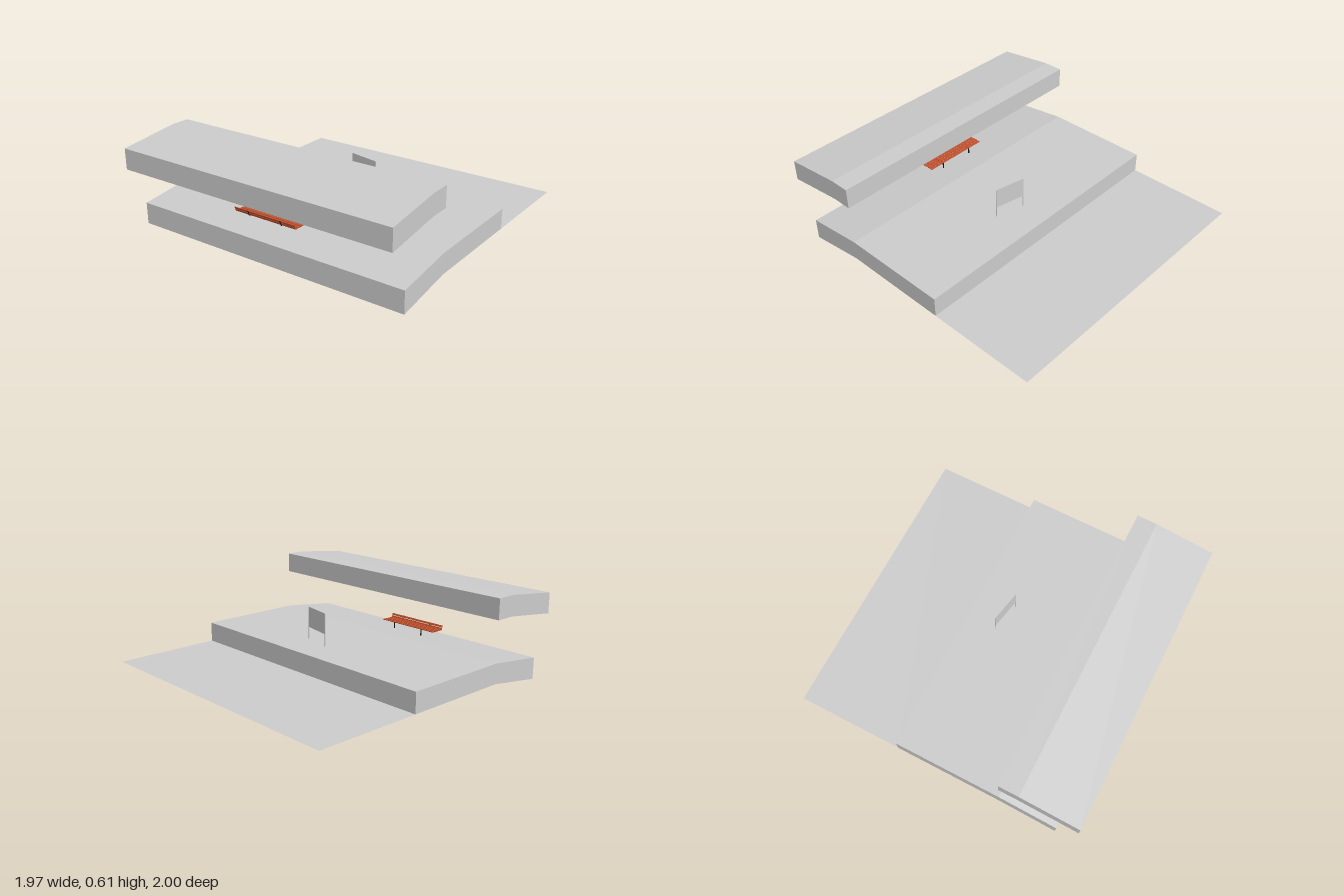
import * as THREE from 'three';

const WIDTH = 1.97;
const grey = new THREE.MeshStandardMaterial({ color: 0xcccccc });
const greyThin = new THREE.MeshStandardMaterial({ color: 0xcccccc, side: THREE.DoubleSide });
const red = new THREE.MeshStandardMaterial({ color: 0xc4522f });
const black = new THREE.MeshStandardMaterial({ color: 0x151515 });

function add(parent, name, geometry, material, x = 0, y = 0, z = 0) {
  const mesh = new THREE.Mesh(geometry, material);
  mesh.name = name;
  mesh.position.set(x, y, z);
  parent.add(mesh);
  return mesh;
}

// Extrudes a side profile of [z, y] points along x, centred on x = 0
function prism(profile, width) {
  const shape = new THREE.Shape(profile.map(([z, y]) => new THREE.Vector2(-z, y)));
  return new THREE.ExtrudeGeometry(shape, { depth: width, bevelEnabled: false })
    .translate(0, 0, -width / 2)
    .rotateY(Math.PI / 2);
}

function createBench() {
  const bench = new THREE.Group();
  bench.name = 'bench';
  const length = 0.47;
  // Seat slats
  for (let i = 0; i < 4; i++) {
    add(bench, 'seatSlat', new THREE.BoxGeometry(length, 0.005, 0.018), red, 0, 0.217, 0.657 + i * 0.024);
  }
  // Backrest slats, leaning outwards
  for (let i = 0; i < 2; i++) {
    const slat = add(bench, 'backSlat', new THREE.BoxGeometry(length, 0.014, 0.004), red,
      0, 0.223 + i * 0.016, 0.741 + i * 0.006);
    slat.rotation.x = 0.35;
  }
  // Bent frames: post, seat rail and back support
  for (const x of [-0.125, 0.125]) {
    add(bench, 'benchPost', new THREE.BoxGeometry(0.006, 0.05, 0.006), black, x, 0.19, 0.65);
    add(bench, 'seatRail', new THREE.BoxGeometry(0.006, 0.005, 0.09), black, x, 0.212, 0.694);
    const support = add(bench, 'backSupport', new THREE.BoxGeometry(0.006, 0.036, 0.004), black, x, 0.229, 0.746);
    support.rotation.x = 0.35;
  }
  bench.position.x = -0.083;
  return bench;
}

function createSign() {
  const sign = new THREE.Group();
  sign.name = 'sign';
  add(sign, 'signPanel', new THREE.BoxGeometry(0.212, 0.14, 0.004), grey, 0, 0.348, 0);
  for (const x of [-0.105, 0.105]) {
    add(sign, 'signPost', new THREE.CylinderGeometry(0.003, 0.003, 0.23, 8), grey, x, 0.303, 0);
  }
  sign.position.set(0.098, 0, -0.043);
  sign.rotation.y = -0.2;
  return sign;
}

export function createModel() {
  const model = new THREE.Group();
  model.name = 'terrace';

  // Lower slab, sloping down towards the front
  add(model, 'lowerTerrace', prism([
    [0.87, 0], [0.465, 0.06], [-0.273, 0.06], [-0.273, 0.195], [0.465, 0.195], [0.87, 0.145],
  ].reverse(), WIDTH), grey);

  // Upper slab floating above the front edge
  add(model, 'upperTerrace', prism([
    [1, 0.418], [0.6, 0.469], [0.465, 0.469], [0.465, 0.606], [0.6, 0.606], [1, 0.557],
  ].reverse(), WIDTH), grey);

  // Thin ground sheet behind the lower slab
  add(model, 'groundSheet', new THREE.PlaneGeometry(WIDTH, 0.727).rotateX(-Math.PI / 2), greyThin, 0, 0.06, -0.6365);

  model.add(createBench(), createSign());
  return model;
}
